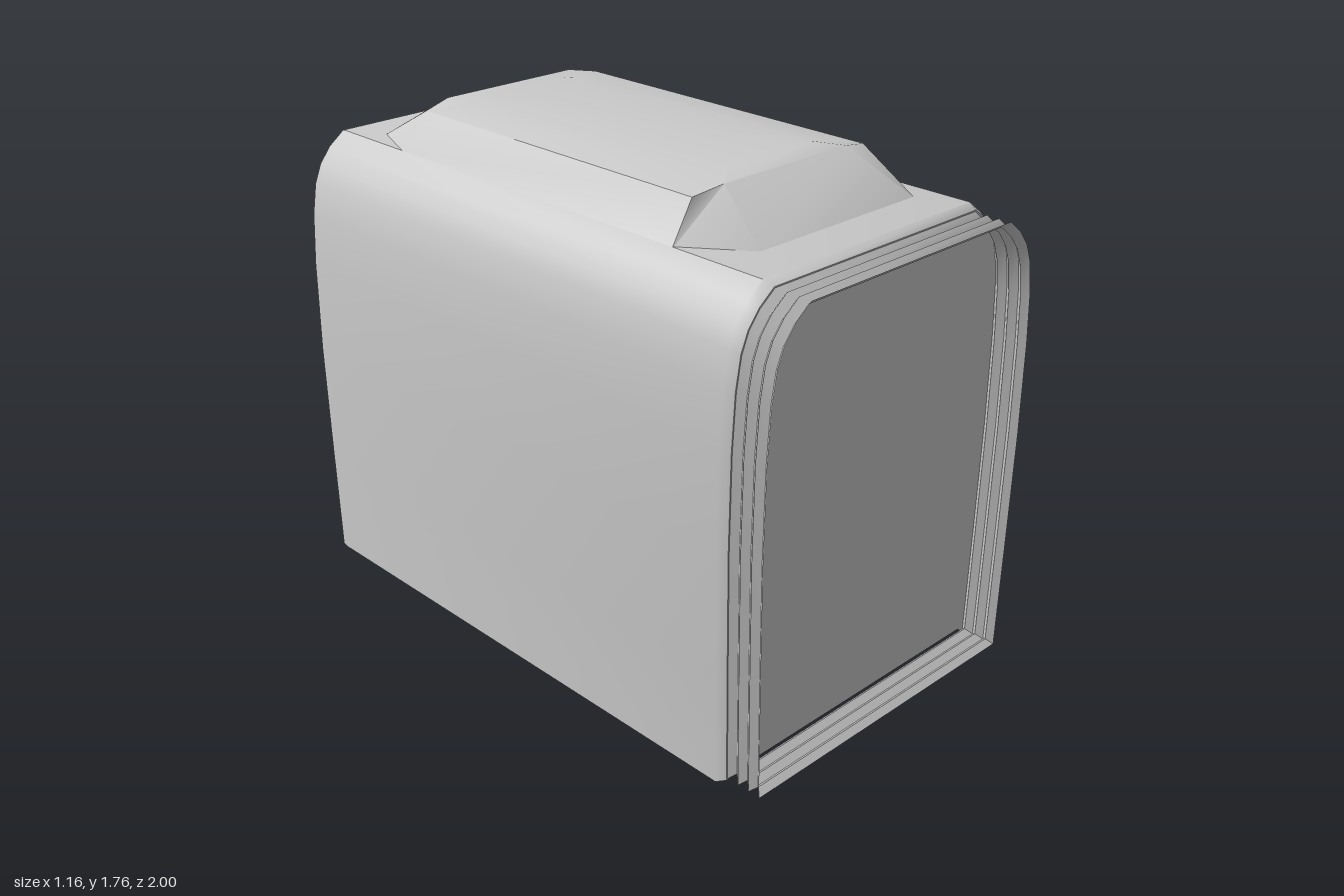
import * as THREE from 'three';
import { toCreasedNormals } from 'three/addons/utils/BufferGeometryUtils.js';

const grey = new THREE.MeshStandardMaterial({ color: 0xcccccc });
grey.name = 'grey';
const greyOpen = new THREE.MeshStandardMaterial({ color: 0xcccccc, side: THREE.DoubleSide });
greyOpen.name = 'grey two-sided';

// Skins a series of matching point rings; caps are fans around each end's centre
function loft(rings, crease, capStart, capEnd) {
  const n = rings[0].length;
  const pos = [];
  const tri = (...pts) => pts.forEach((p) => pos.push(...p));
  for (let i = 0; i < rings.length - 1; i++) {
    for (let j = 0; j < n; j++) {
      const k = (j + 1) % n;
      const a = rings[i][j], b = rings[i][k], c = rings[i + 1][k], d = rings[i + 1][j];
      tri(a, b, c);
      tri(a, c, d);
    }
  }
  const cap = (ring, flip) => {
    const mid = [0, 1, 2].map((a) => (Math.min(...ring.map((p) => p[a])) + Math.max(...ring.map((p) => p[a]))) / 2);
    ring.forEach((p, j) => {
      const q = ring[(j + 1) % n];
      if (flip) tri(mid, q, p);
      else tri(mid, p, q);
    });
  };
  if (capStart) cap(rings[0], true);
  if (capEnd) cap(rings[rings.length - 1], false);
  const geo = new THREE.BufferGeometry();
  geo.setAttribute('position', new THREE.Float32BufferAttribute(pos, 3));
  return toCreasedNormals(geo, crease);
}

// Right half of the car section, bottom to top
const side = [
  [0.565, 0.14], [0.573, 0.5], [0.58, 0.9], [0.577, 1.2], [0.567, 1.37],
  [0.55, 1.47], [0.525, 1.53], [0.485, 1.58], [0.43, 1.622],
];
const lip = [[0.535, 0.155], [0.55, 0.14]];
const mirror = (half) => [...half, ...half.map(([x, y]) => [-x, y]).reverse()];
const carSection = mirror([...lip, ...side]);
const bellowsSection = mirror(side);

// Section shrunk evenly by d and placed at z
const ringAt = (section, d, z) => section.map(([x, y]) => [
  x * (0.58 - d) / 0.58,
  0.88 + (y - 0.88) * (0.741 - d) / 0.741,
  z,
]);

export function createModel() {
  const group = new THREE.Group();
  const add = (name, geo, mat = grey, parent = group) => {
    const mesh = new THREE.Mesh(geo, mat);
    mesh.name = name;
    parent.add(mesh);
    return mesh;
  };

  // Closed car body with small end bevels
  add('carBody', loft([
    ringAt(carSection, 0.02, -1),
    ringAt(carSection, 0.003, -0.98),
    ringAt(carSection, 0, -0.96),
    ringAt(carSection, 0, 0.85),
    ringAt(carSection, 0.014, 0.88),
  ], 0.6, true, true));

  // Open pleated gangway at the front
  const pleats = [];
  for (let i = 0; i <= 6; i++) pleats.push(ringAt(bellowsSection, i % 2 ? 0.036 : 0.018, 0.88 + i * 0.02));
  add('gangwayBellows', loft(pleats, 0.5, false, false), greyOpen);

  // Roof hood with chamfered corners and sloping sides
  const hoodBase = [
    [0.435, 0.53], [0.435, -0.66], [0.28, -0.85], [-0.36, -0.85],
    [-0.435, -0.66], [-0.435, 0.53], [-0.29, 0.72], [0.355, 0.72],
  ].map(([x, z]) => [x, 1.615, z]);
  const hoodTop = (x1, y1, x2, y2, inset) => [
    [x1, y1, 0.52 - inset], [x1, y1, -0.63 + inset], [x2, y2, -0.65 + inset], [-x2, y2, -0.65 + inset],
    [-x1, y1, -0.63 + inset], [-x1, y1, 0.52 - inset], [-x2, y2, 0.54 - inset], [x2, y2, 0.54 - inset],
  ];
  add('roofHood', loft([
    hoodBase,
    hoodTop(0.35, 1.738, 0.25, 1.757, 0),
    hoodTop(0.2, 1.76, 0.15, 1.762, 0.08),
  ], 0.8, false, true));

  // Flanged wheels on two axles, half hidden in the floor
  const wheelProfile = [
    [0, 0.03], [0.09, 0.03], [0.125, 0.028], [0.135, 0.02],
    [0.138, -0.012], [0.15, -0.018], [0.15, -0.026], [0.1, -0.03], [0, -0.03],
  ].map(([r, y]) => new THREE.Vector2(r, y)).reverse();
  const wheelGeo = toCreasedNormals(new THREE.LatheGeometry(wheelProfile, 16), 0.6);
  const axleGeo = new THREE.CylinderGeometry(0.02, 0.02, 0.88, 8);
  for (const [end, z] of [['front', 0.385], ['rear', -0.495]]) {
    const set = new THREE.Group();
    set.name = end + 'WheelSet';
    set.position.set(0, 0.152, z);
    group.add(set);
    add('axle', axleGeo, grey, set).rotation.z = Math.PI / 2;
    for (const s of [1, -1]) {
      const wheel = add(s > 0 ? 'leftWheel' : 'rightWheel', wheelGeo, grey, set);
      wheel.rotation.z = -s * Math.PI / 2;
      wheel.position.x = s * 0.37;
    }
  }
  return group;
}
